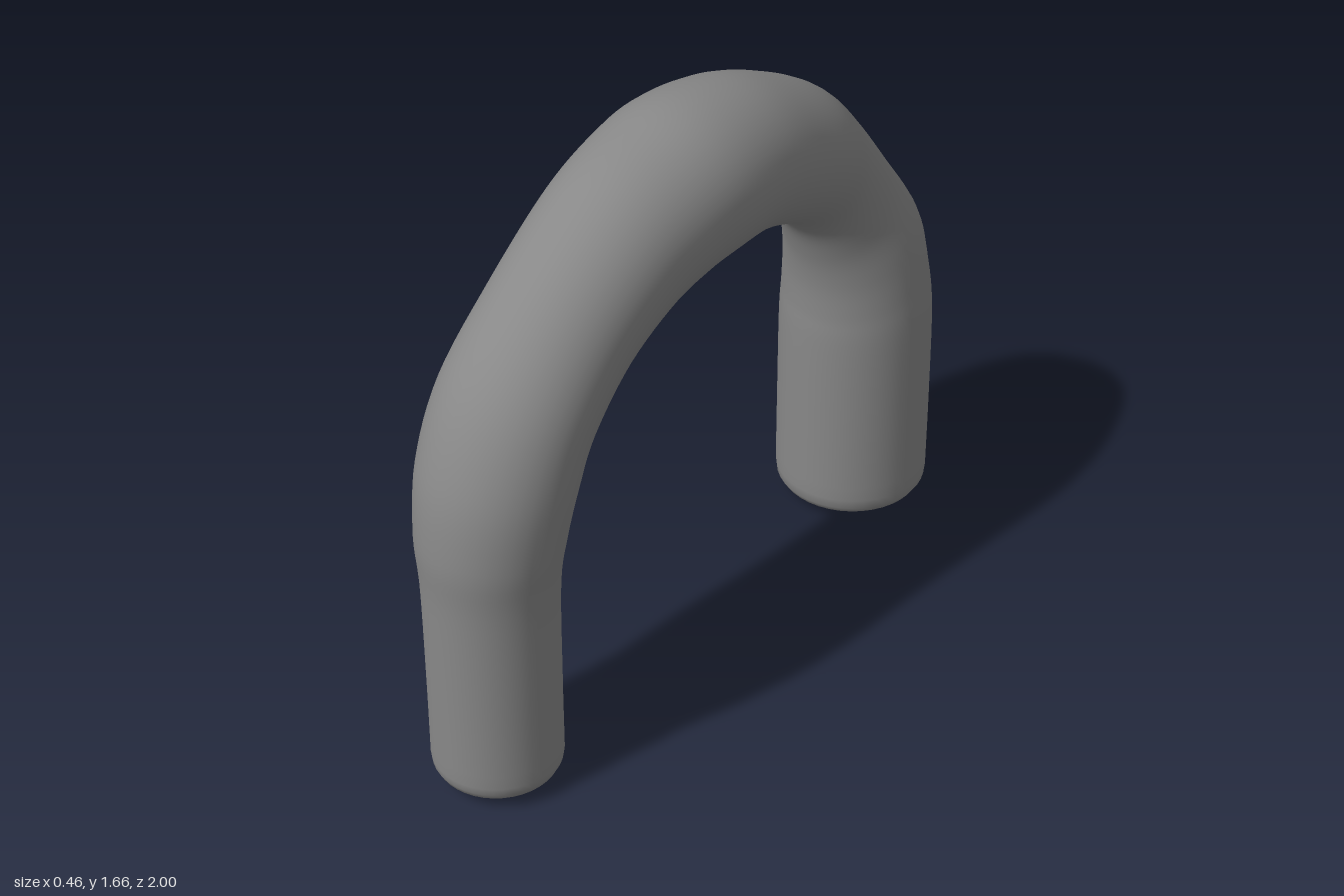
import * as THREE from 'three';
import { mergeVertices } from 'three/addons/utils/BufferGeometryUtils.js';

const SIDES = 40;
const STEPS = 110;

// Stations from front foot to back foot: outer z, outer y, inner z, inner y, half width in x
const stations = [
  [0.993, 0.08, 0.643, 0.08, 0.175],
  [0.993, 0.32, 0.643, 0.32, 0.175],
  [0.995, 0.62, 0.64, 0.62, 0.178],
  [1.0, 0.8, 0.622, 0.75, 0.194],
  [0.965, 1.0, 0.582, 0.88, 0.208],
  [0.855, 1.215, 0.53, 0.98, 0.209],
  [0.65, 1.405, 0.4, 1.088, 0.203],
  [0.4, 1.57, 0.255, 1.16, 0.212],
  [0.2, 1.638, 0.13, 1.192, 0.225],
  [0.03, 1.66, 0.0, 1.2, 0.231],
  [-0.17, 1.63, -0.14, 1.19, 0.22],
  [-0.35, 1.558, -0.29, 1.14, 0.203],
  [-0.53, 1.45, -0.42, 1.075, 0.186],
  [-0.66, 1.315, -0.495, 1.0, 0.166],
  [-0.8, 1.135, -0.537, 0.9, 0.168],
  [-0.925, 0.955, -0.558, 0.8, 0.193],
  [-0.97, 0.8, -0.563, 0.7, 0.207],
  [-0.995, 0.62, -0.56, 0.6, 0.217],
  [-1.0, 0.33, -0.56, 0.33, 0.219],
  [-1.0, 0.08, -0.56, 0.08, 0.219],
];

// Rounded foot: height and scale from the sole upward
const footSteps = [[0.004, 0], [0.008, 0.4], [0.015, 0.68], [0.023, 0.82], [0.036, 0.93], [0.055, 0.985]];

function footRings(station, lift) {
  const [zo, , zi, , w] = station;
  const c = (zo + zi) / 2;
  return footSteps.map(([y, s]) => ({
    outer: new THREE.Vector3(0, y + lift, c + (zo - c) * s),
    inner: new THREE.Vector3(0, y + lift, c + (zi - c) * s),
    half: w * s,
  }));
}

function archGeometry() {
  // Two guide rails; x of the outer rail carries the half width
  const outerRail = new THREE.CatmullRomCurve3(
    stations.map((s) => new THREE.Vector3(s[4], s[1], s[0])), false, 'catmullrom', 0.5);
  const innerRail = new THREE.CatmullRomCurve3(
    stations.map((s) => new THREE.Vector3(0, s[3], s[2])), false, 'catmullrom', 0.5);

  const rings = footRings(stations[0], 0.004);
  for (let i = 0; i <= STEPS; i++) {
    const outer = outerRail.getPoint(i / STEPS);
    const half = outer.x;
    outer.x = 0;
    rings.push({ outer, inner: innerRail.getPoint(i / STEPS), half });
  }
  rings.push(...footRings(stations[stations.length - 1], -0.004).reverse());

  // Elliptical cross-sections joined into a closed skin
  const positions = [];
  const index = [];
  rings.forEach(({ outer, inner, half }, i) => {
    const center = outer.clone().add(inner).multiplyScalar(0.5);
    const up = outer.clone().sub(center);
    for (let j = 0; j < SIDES; j++) {
      const a = (j / SIDES) * Math.PI * 2;
      positions.push(
        half * Math.sin(a),
        center.y + up.y * Math.cos(a),
        center.z + up.z * Math.cos(a));
      if (i === rings.length - 1) continue;
      const k = (j + 1) % SIDES;
      const p = i * SIDES + j, q = i * SIDES + k;
      index.push(p, q, p + SIDES, q, q + SIDES, p + SIDES);
    }
  });
  const geometry = new THREE.BufferGeometry();
  geometry.setAttribute('position', new THREE.Float32BufferAttribute(positions, 3));
  geometry.setIndex(index);
  const merged = mergeVertices(geometry, 1e-5);
  merged.computeVertexNormals();
  return merged;
}

export function createModel() {
  const group = new THREE.Group();
  group.name = 'archModel';
  const arch = new THREE.Mesh(archGeometry(), new THREE.MeshStandardMaterial({ color: 0x888888 }));
  arch.name = 'bentTubeArch';
  group.add(arch);
  return group;
}
